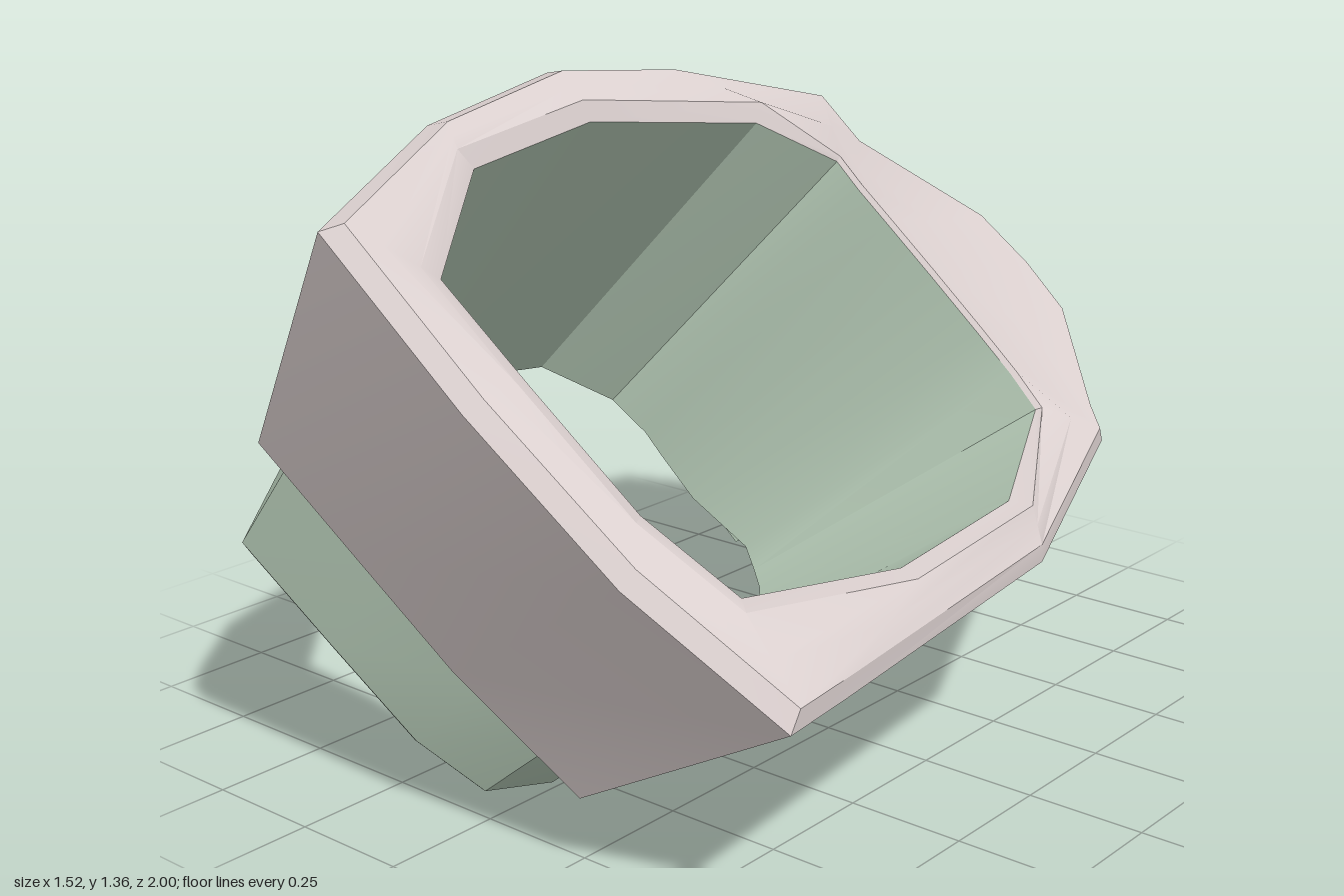
import * as THREE from 'three';
import { toCreasedNormals } from 'three/addons/utils/BufferGeometryUtils.js';

const shellMat = new THREE.MeshStandardMaterial({ color: 0xdbd0cf, side: THREE.DoubleSide });
shellMat.name = 'warmGrey';
const linerMat = new THREE.MeshStandardMaterial({ color: 0xcbe2cc, side: THREE.DoubleSide });
linerMat.name = 'paleGreen';
const boltMat = new THREE.MeshStandardMaterial({ color: 0xc0bed4 });
boltMat.name = 'lavenderGrey';

// Cross-sections in the collar's own frame as [across, depth, height],
// starting at the front high corner and running round by the low side.
const shellBottom = [
  [-0.77, 0.95, 0.31], [-0.48, 0.91, 0.305], [-0.2, 0.87, 0.3], [0.115, 0.79, 0.295],
  [0.125, 0.6, 0.285], [0.09, -0.1, 0.27], [0, -0.35, 0.225], [-0.2, -0.62, 0.19],
  [-0.37, -0.86, 0.165], [-0.52, -0.87, 0.16], [-0.67, -0.86, 0.165], [-0.83, -0.61, 0.19],
  [-0.93, -0.45, 0.215], [-1.08, -0.12, 0.27], [-1.09, 0.28, 0.295], [-0.96, 0.7, 0.305]];
const shellTop = [
  [-0.86, 1, 0.822], [-0.44, 0.97, 0.815], [-0.04, 0.91, 0.81], [0.31, 0.78, 0.805],
  [0.295, 0.6, 0.795], [0.225, -0.15, 0.76], [0.04, -0.62, 0.75], [-0.03, -0.7, 0.72],
  [-0.31, -0.98, 0.66], [-0.46, -1, 0.655], [-0.62, -0.97, 0.66], [-0.89, -0.71, 0.69],
  [-1.0, -0.62, 0.745], [-1.11, -0.15, 0.79], [-1.138, 0.2, 0.81], [-1.05, 0.6, 0.818]];
const opening = [
  [-0.715, 0.81, 0.81], [-0.45, 0.8, 0.82], [-0.15, 0.77, 0.82], [0.06, 0.69, 0.82],
  [0.128, 0.28, 0.81], [0.09, -0.15, 0.79], [-0.08, -0.48, 0.76], [-0.18, -0.5, 0.755],
  [-0.3, -0.51, 0.75], [-0.47, -0.51, 0.75], [-0.62, -0.5, 0.755], [-0.72, -0.49, 0.76],
  [-0.8, -0.48, 0.77], [-0.93, -0.3, 0.79], [-0.99, 0.2, 0.82], [-0.93, 0.57, 0.82]];
const linerBottom = [
  [-0.72, 0.89, 0.025], [-0.45, 0.85, 0.025], [-0.2, 0.81, 0.025], [-0.05, 0.74, 0.025],
  [-0.01, 0.58, 0.015], [-0.08, -0.22, 0.01], [-0.2, -0.37, -0.01], [-0.26, -0.42, -0.03],
  [-0.33, -0.46, -0.04], [-0.53, -0.47, -0.09], [-0.67, -0.46, -0.08], [-0.74, -0.44, -0.06],
  [-0.85, -0.39, -0.04], [-0.98, -0.2, 0], [-1.01, 0.15, 0.02], [-0.9, 0.64, 0.025]];

// Scales a ring about a centre and shifts its height
function resize(ring, s, cu, cz, dn) {
  return ring.map(([u, z, n]) => [cu + (u - cu) * s, cz + (z - cz) * s, n + dn]);
}

// Skins a list of closed rings
function loft(rings) {
  const count = rings[0].length, pos = [], index = [];
  for (const ring of rings) for (const [u, z, n] of ring) pos.push(u, n, z);
  for (let r = 0; r < rings.length - 1; r++) {
    for (let i = 0; i < count; i++) {
      const j = (i + 1) % count, a = r * count, b = a + count;
      index.push(a + i, a + j, b + j, a + i, b + j, b + i);
    }
  }
  const geo = new THREE.BufferGeometry();
  geo.setAttribute('position', new THREE.Float32BufferAttribute(pos, 3));
  geo.setIndex(index);
  return toCreasedNormals(geo, 0.5);
}

// Small tapered fastener pointing along a direction
function fastener(name, material, sides, r0, r1, height, at, dir) {
  const geo = toCreasedNormals(new THREE.CylinderGeometry(r1, r0, height, sides), 0.3);
  const mesh = new THREE.Mesh(geo, material);
  mesh.name = name;
  mesh.position.copy(at);
  mesh.quaternion.setFromUnitVectors(new THREE.Vector3(0, 1, 0), dir.clone().normalize());
  return mesh;
}

export function createModel() {
  const collar = new THREE.Group();
  collar.name = 'collar';
  const add = (name, geo, mat) => {
    const mesh = new THREE.Mesh(geo, mat);
    mesh.name = name;
    collar.add(mesh);
  };

  // Band meets the shell further back than its lower edge
  const linerTop = linerBottom.map(([u, z], i) => [
    (u + 0.5) * 1.08 - 0.49, z - (i > 5 && i < 12 ? 0.09 : 0), shellBottom[i][2] - 0.02]);
  // Outer shell: underside, lower bevel, wall, upper bevel, hollowed deck and inner lip
  const crest = resize(shellTop, 0.965, -0.45, 0, 0.03);
  const rim = resize(opening, 1.07, -0.45, 0.1, 0.026);
  const rearRim = resize(opening, 1.015, -0.45, 0.1, 0.01);
  const lip = rim.map((v, i) => (i > 5 && i < 13 ? rearRim[i] : v));
  const deck = crest.map((c, i) => {
    const dip = i >= 7 && i <= 11 ? 0.015 : 0;
    return c.map((v, k) => (v + lip[i][k]) / 2 - (k === 2 ? dip : 0));
  });
  add('outerShell', loft([
    linerTop,
    resize(shellBottom, 0.955, -0.5, 0, -0.043),
    shellBottom,
    shellTop,
    crest,
    deck,
    lip,
    opening,
  ]), shellMat);

  // Inner liner: inside wall, lower lip, lower bevel and the exposed outer band
  add('innerLiner', loft([
    opening,
    resize(linerBottom, 0.92, -0.5, 0.2, -0.035),
    resize(linerBottom, 0.95, -0.5, 0.2, -0.04),
    linerBottom,
    linerTop,
  ]), linerMat);

  // Rear clasp, a box narrowing downwards and backwards
  const clasp = new THREE.BoxGeometry(2, 1, 1);
  const p = clasp.attributes.position;
  for (let i = 0; i < p.count; i++) {
    const top = p.getY(i) > 0, back = p.getZ(i) < 0;
    const half = (top ? 0.18 : 0.09) + (back ? 0 : 0.06);
    p.setXYZ(i, -0.53 + p.getX(i) * half, top ? 0.24 : (back ? -0.14 : -0.12),
      back ? (top ? -0.745 : -0.7) : (top ? -0.49 : -0.44));
  }
  add('rearClasp', toCreasedNormals(clasp, 0.3), linerMat);

  // A bolt on each side of the clasp
  for (const s of [-1, 1]) {
    collar.add(fastener('claspBolt', boltMat, 6, 0.09, 0.07, 0.11,
      new THREE.Vector3(-0.53 + s * 0.155, 0.03, -0.615), new THREE.Vector3(s, -0.25, -0.15)));
  }

  // Two studs on the high rear face of the shell
  const corner = ([u, z, n]) => new THREE.Vector3(u, n, z);
  for (const t of [0.27, 0.73]) {
    const low = corner(shellBottom[12]).lerp(corner(shellBottom[10]), 0.66);
    const high = corner(shellTop[12]).lerp(corner(shellTop[10]), 0.6);
    const dir = new THREE.Vector3(-0.77, 0, -0.63);
    const at = low.lerp(high, t).addScaledVector(dir, 0.025);
    collar.add(fastener('shellStud', shellMat, 4, 0.08, 0.05, 0.1, at, dir));
  }

  // Tilt the collar sideways
  collar.rotation.z = -0.7076;
  const model = new THREE.Group();
  model.name = 'tiltedCollar';
  model.add(collar);
  return model;
}
